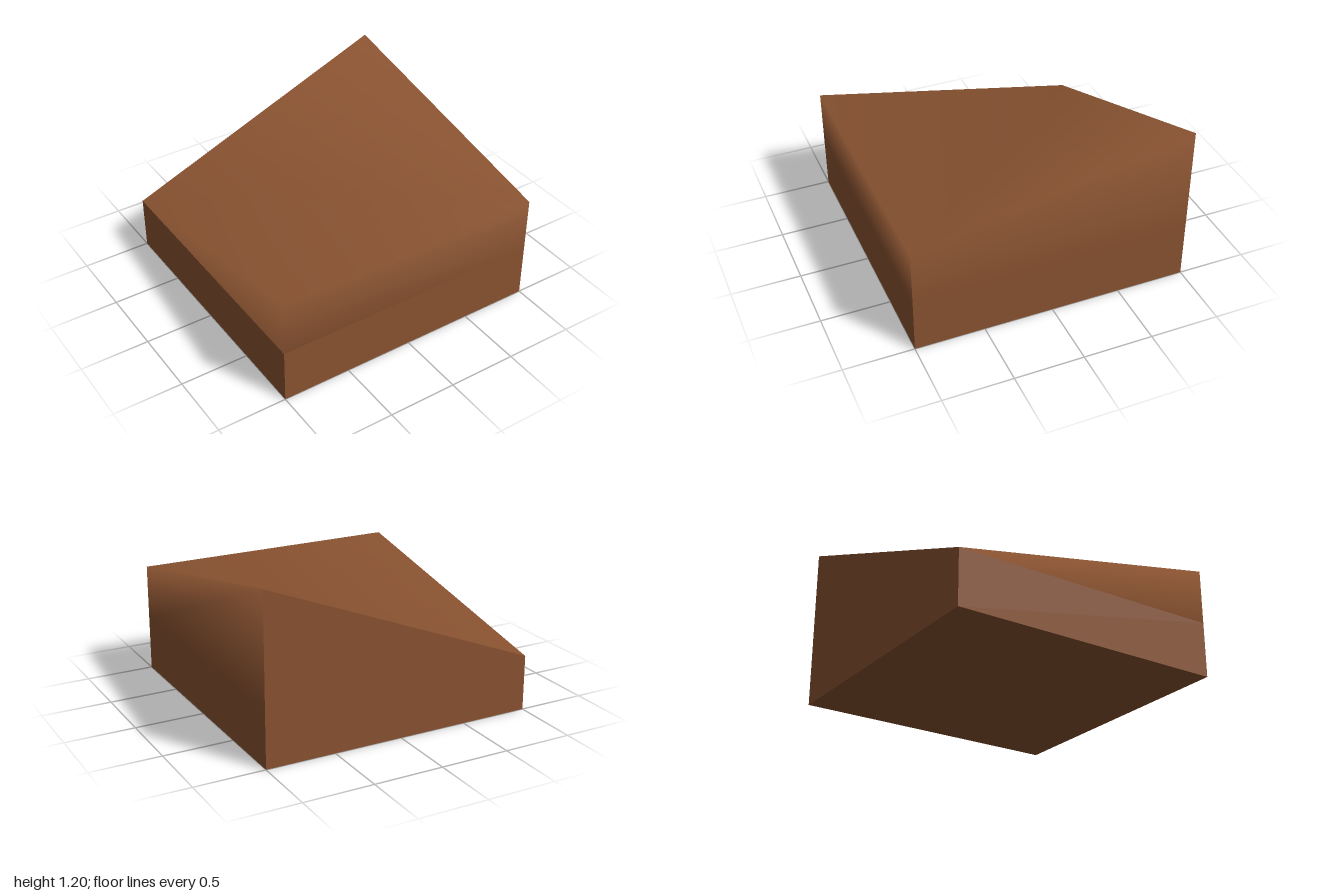
import * as THREE from 'three';

const BASE = 0.4; // height of the straight-sided lower block

// Lower block: a box without its hidden top face
function makeBase() {
  const geo = new THREE.BoxGeometry(2, BASE, 2).translate(0, BASE / 2, 0);
  const index = Array.from(geo.index.array);
  index.splice(12, 6);
  geo.setIndex(index);
  geo.clearGroups();
  return geo;
}

// Sloping cap: shared corners give soft edges, repeated corners give sharp ones
function makeCap() {
  const corners = [
    [-1, 0.8, 1], [1, 0.8, 1], [1, 1.2, -1], [-1, BASE, -1], // top surface
    [-1, BASE, 1], [1, BASE, 1],                             // front foot
    [1, BASE, 1], [1, BASE, -1],                             // +x side foot
    [1, BASE, -1], [-1, BASE, -1], [1, 1.2, -1],             // flat back
  ];
  const faces = [
    [0, 1, 3], [1, 2, 3], // top, folded along the low diagonal
    [4, 5, 1], [4, 1, 0], // front
    [6, 7, 2], [6, 2, 1], // +x side
    [3, 4, 0],            // -x side
    [8, 9, 10],           // back
  ];
  const geo = new THREE.BufferGeometry();
  geo.setAttribute('position', new THREE.Float32BufferAttribute(corners.flat(), 3));
  geo.setIndex(faces.flat());
  geo.computeVertexNormals();
  return geo;
}

export function createModel() {
  const model = new THREE.Group();
  model.name = 'slopedBlock';
  const brown = new THREE.MeshStandardMaterial({ color: 0x8a5331 });
  brown.name = 'earthBrown';

  const base = new THREE.Mesh(makeBase(), brown);
  base.name = 'baseBlock';
  const cap = new THREE.Mesh(makeCap(), brown);
  cap.name = 'slopedCap';
  model.add(base, cap);
  return model;
}
